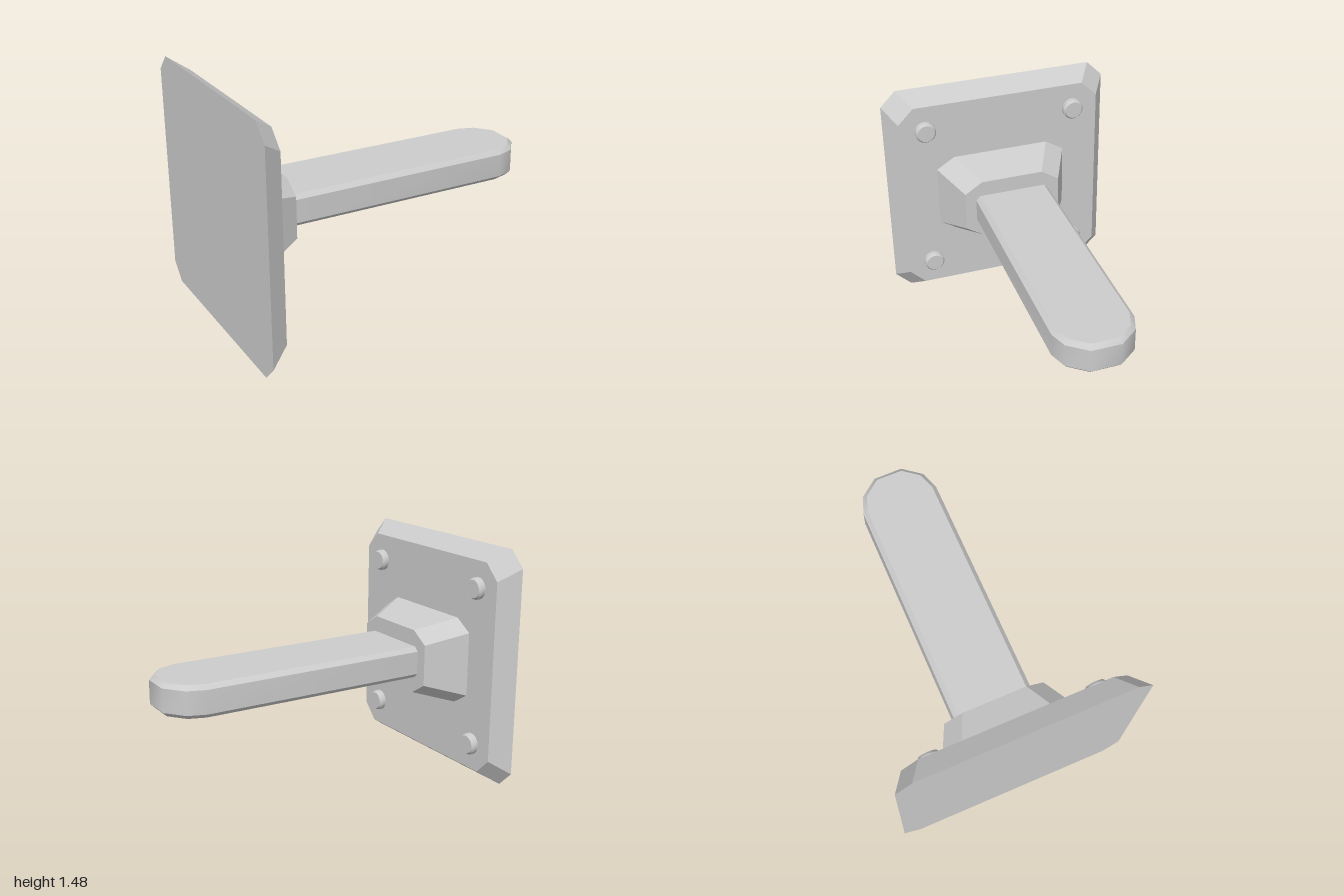
import * as THREE from 'three';
import { toCreasedNormals } from 'three/addons/utils/BufferGeometryUtils.js';

const MID_Y = 0.74;

// Skin a closed solid over convex rings of [x, y, z], each counter-clockwise about the loft axis
function loft(rings, crease) {
  const pos = [];
  const tri = (a, b, c) => pos.push(...a, ...b, ...c);
  const n = rings[0].length;
  for (let k = 0; k < rings.length - 1; k++) {
    const lo = rings[k], hi = rings[k + 1];
    for (let i = 0; i < n; i++) {
      const j = (i + 1) % n;
      tri(lo[i], lo[j], hi[j]);
      tri(lo[i], hi[j], hi[i]);
    }
  }
  const first = rings[0], last = rings[rings.length - 1];
  for (let i = 1; i < n - 1; i++) {
    tri(first[0], first[i + 1], first[i]);
    tri(last[0], last[i], last[i + 1]);
  }
  const geo = new THREE.BufferGeometry();
  geo.setAttribute('position', new THREE.Float32BufferAttribute(pos, 3));
  return toCreasedNormals(geo, crease);
}

// Rectangle with cut corners in the plane at x; h, w are half sizes, hc, wc where the cuts begin
function octagon(x, h, w, hc, wc) {
  return [[h, -wc], [h, wc], [hc, w], [-hc, w], [-h, wc], [-h, -wc], [-hc, -w], [hc, -w]]
    .map(([y, z]) => [x, MID_Y + y, z]);
}

// Outline of the arm at height y, shrunk by the bevel
function armOutline(y, inset) {
  const half = [
    [-0.64, 0.243 - inset],
    [0.8 - inset * 0.3, 0.243 - inset],
    [0.91 - inset * 0.6, 0.205 - inset * 0.85],
    [1 - inset, 0.09 - inset * 0.3],
  ];
  const mirrored = half.map(([x, z]) => [x, -z]).reverse();
  return [...half, ...mirrored].map(([x, z]) => [x, y, z]);
}

export function createModel() {
  const group = new THREE.Group();
  const material = new THREE.MeshStandardMaterial({ color: 0xcccccc });
  const add = (name, geo) => {
    const mesh = new THREE.Mesh(geo, material);
    mesh.name = name;
    group.add(mesh);
    return mesh;
  };

  // Wall plate with sloped rim
  add('wallPlate', loft([
    octagon(-1, 0.74, 0.74, 0.64, 0.64),
    octagon(-0.88, 0.66, 0.66, 0.56, 0.56),
  ], 0.1));

  // Tapered socket holding the arm
  add('socket', loft([
    octagon(-0.88, 0.273, 0.43, 0.2, 0.313),
    octagon(-0.635, 0.2, 0.313, 0.128, 0.2),
  ], 0.1));

  // Arm with bevelled edges and a rounded tip
  const bevel = 0.027;
  add('arm', loft([
    armOutline(0.643, bevel),
    armOutline(0.643 + bevel, 0),
    armOutline(0.84 - bevel, 0),
    armOutline(0.84, bevel),
  ], 0.7));

  // Four bolt heads
  const profile = [[0.067, 0], [0.067, 0.026], [0.055, 0.041], [0, 0.041]]
    .map(([r, h]) => new THREE.Vector2(r, h));
  const boltGeo = toCreasedNormals(new THREE.LatheGeometry(profile, 28), 0.5);
  boltGeo.rotateZ(-Math.PI / 2);
  for (const sy of [-1, 1]) {
    for (const sz of [-1, 1]) {
      const name = `${sy > 0 ? 'upper' : 'lower'}${sz > 0 ? 'Front' : 'Back'}Bolt`;
      add(name, boltGeo).position.set(-0.88, MID_Y + sy * 0.493, sz * 0.493);
    }
  }
  return group;
}
